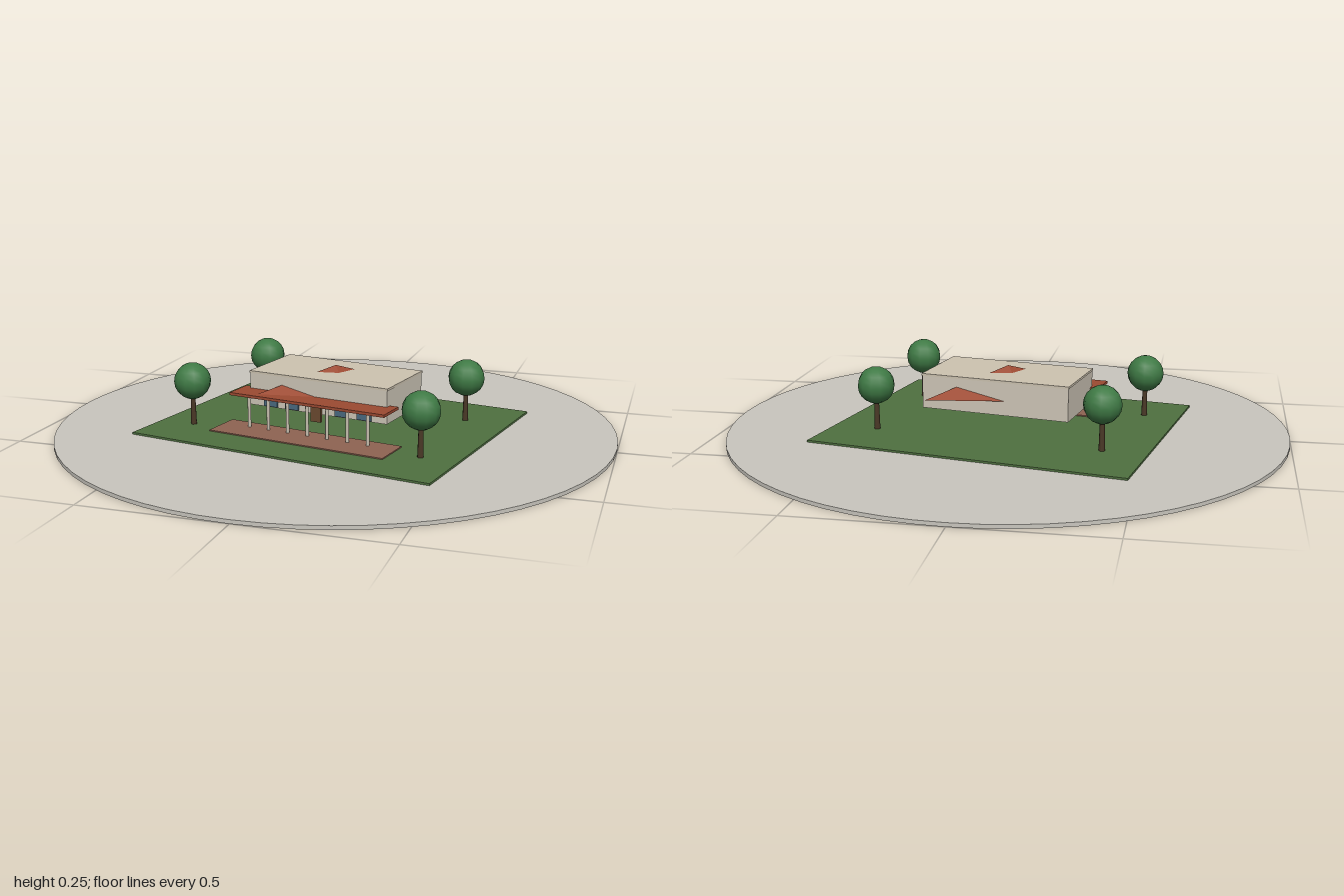
import * as THREE from 'three';

const mat = (color, flatShading = false) =>
  new THREE.MeshStandardMaterial({ color, flatShading });

const colors = {
  ground: mat(0xc9c6be), lawn: mat(0x4f7040), deck: mat(0x8f6352),
  wall: mat(0xcfc7b8), roof: mat(0xcdc3b0), tile: mat(0x9c4a32, true),
  post: mat(0xc8c0b0), glass: mat(0x4a6a80), door: mat(0x6b4a30),
  trunk: mat(0x4a3826), leaf: mat(0x3f7a45),
};

function add(parent, name, geometry, material, x = 0, y = 0, z = 0) {
  const mesh = new THREE.Mesh(geometry, material);
  mesh.name = name;
  mesh.position.set(x, y, z);
  parent.add(mesh);
  return mesh;
}

// Box given by its bottom and top heights
function slab(parent, name, material, w, d, y0, y1, x = 0, z = 0) {
  return add(parent, name, new THREE.BoxGeometry(w, y1 - y0, d), material, x, (y0 + y1) / 2, z);
}

export function createModel() {
  const model = new THREE.Group();
  model.name = 'houseOnPlot';

  // Round ground plate
  add(model, 'ground', new THREE.CylinderGeometry(1, 1, 0.013, 64), colors.ground, 0, 0.0065, 0);

  // Everything on the plot is turned together
  const plot = new THREE.Group();
  plot.name = 'plot';
  plot.rotation.y = -0.183;
  model.add(plot);

  slab(plot, 'lawn', colors.lawn, 1.14, 0.91, 0.011, 0.02);
  slab(plot, 'deck', colors.deck, 0.68, 0.15, 0.016, 0.024, 0, 0.239);

  // Raised house body with a thin flat roof
  slab(plot, 'houseBody', colors.wall, 0.546, 0.284, 0.085, 0.204);
  slab(plot, 'flatRoof', colors.roof, 0.55, 0.289, 0.203, 0.211);

  // Shallow four-sided roof, stretched on its diagonal, showing through the body
  const pitched = add(plot, 'pitchedRoof', new THREE.ConeGeometry(0.165, 0.095, 4), colors.tile, 0, 0.1845, 0);
  pitched.rotation.y = Math.PI / 4;
  pitched.scale.x = 1.94;

  // Veranda canopy and its row of posts
  slab(plot, 'canopy', colors.tile, 0.61, 0.112, 0.136, 0.146, 0, 0.175);
  const postGeometry = new THREE.CylinderGeometry(0.006, 0.006, 0.119, 10);
  for (let i = -3; i <= 3; i++) {
    add(plot, 'post', postGeometry, colors.post, i * 0.0785, 0.0795, 0.212);
  }

  // Door and windows on the front wall
  slab(plot, 'door', colors.door, 0.04, 0.012, 0.058, 0.143, 0, 0.146);
  for (const x of [-0.187, -0.1, 0.1, 0.187]) {
    slab(plot, 'window', colors.glass, 0.055, 0.008, 0.088, 0.142, x, 0.143);
  }

  // Trees
  const trunkGeometry = new THREE.CylinderGeometry(0.008, 0.011, 0.12, 8);
  const crownGeometry = new THREE.SphereGeometry(0.066, 12, 10);
  for (const [x, z] of [[-0.369, -0.281], [0.444, -0.163], [-0.481, 0.179], [0.39, 0.307]]) {
    const tree = new THREE.Group();
    tree.name = 'tree';
    tree.position.set(x, 0, z);
    add(tree, 'trunk', trunkGeometry, colors.trunk, 0, 0.076, 0);
    add(tree, 'crown', crownGeometry, colors.leaf, 0, 0.18, 0);
    model.add(tree);
  }

  return model;
}
